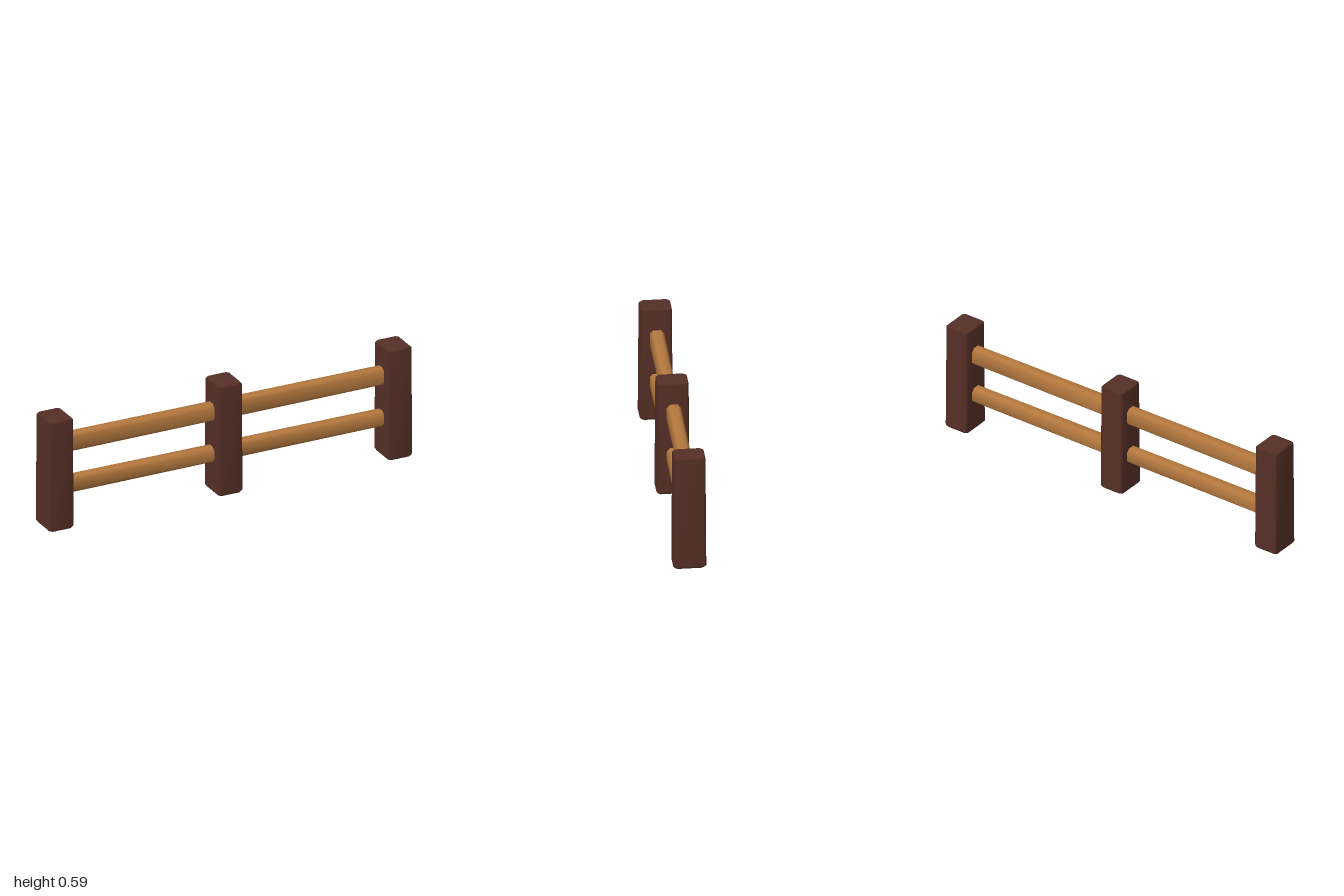
import * as THREE from 'three';

// Beam along y: chamfered rectangular rings [y, halfX, halfZ, chamfer, tilt], smooth normals, capped ends
function beam(rings) {
  const pos = [], idx = [], n = 8;
  for (const [y, a, b, c, tilt = 0] of rings) {
    const ring = [
      [a, b - c], [a - c, b], [c - a, b], [-a, b - c],
      [-a, c - b], [c - a, -b], [a - c, -b], [a, c - b],
    ];
    for (const [x, z] of ring) pos.push(x, y - z * tilt, z);
  }
  for (let r = 0; r < rings.length - 1; r++) {
    for (let i = 0; i < n; i++) {
      const p = r * n + i, q = r * n + (i + 1) % n;
      idx.push(p, p + n, q, q, p + n, q + n);
    }
  }
  const top = (rings.length - 1) * n;
  for (let i = 1; i < n - 1; i++) {
    idx.push(0, i, i + 1);
    idx.push(top, top + i + 1, top + i);
  }
  const g = new THREE.BufferGeometry();
  g.setAttribute('position', new THREE.Float32BufferAttribute(pos, 3));
  g.setIndex(idx);
  // Ring order runs clockwise seen from above, so flip if the volume is inside out
  const a = new THREE.Vector3(), b = new THREE.Vector3(), c = new THREE.Vector3();
  let volume = 0;
  for (let i = 0; i < idx.length; i += 3) {
    a.fromArray(pos, idx[i] * 3);
    b.fromArray(pos, idx[i + 1] * 3);
    c.fromArray(pos, idx[i + 2] * 3);
    volume += a.dot(b.cross(c));
  }
  if (volume < 0) g.setIndex(idx.reverse());
  g.computeVertexNormals();
  return g;
}

export function createModel() {
  const group = new THREE.Group();
  const darkWood = new THREE.MeshStandardMaterial({ name: 'darkWood', color: 0x552f26 });
  const lightWood = new THREE.MeshStandardMaterial({ name: 'lightWood', color: 0xb4783e });

  // Posts: slightly tapered, with softened edges and tilted ends
  const postGeometry = beam([
    [0.004, 0.06, 0.072, 0.012, 0.02],
    [0.016, 0.068, 0.081, 0.012, 0.02],
    [0.58, 0.066, 0.077, 0.012, 0.02],
    [0.588, 0.06, 0.07, 0.012, 0.02],
  ]);
  [['rightPost', -0.932], ['middlePost', -0.002], ['leftPost', 0.932]].forEach(([name, x]) => {
    const post = new THREE.Mesh(postGeometry, darkWood);
    post.name = name;
    post.position.x = x;
    group.add(post);
  });

  // Rails: two per bay, ends buried in the posts
  for (const [level, y, half] of [['upper', 0.432, 0.047], ['lower', 0.207, 0.042]]) {
    const railGeometry = beam([
      [-0.46, half, 0.035, 0.016],
      [0.46, half - 0.002, 0.033, 0.016],
    ]).rotateZ(-Math.PI / 2);
    for (const [side, x] of [['Right', -0.466], ['Left', 0.466]]) {
      const rail = new THREE.Mesh(railGeometry, lightWood);
      rail.name = level + side + 'Rail';
      rail.position.set(x, y, -0.003);
      group.add(rail);
    }
  }
  return group;
}
